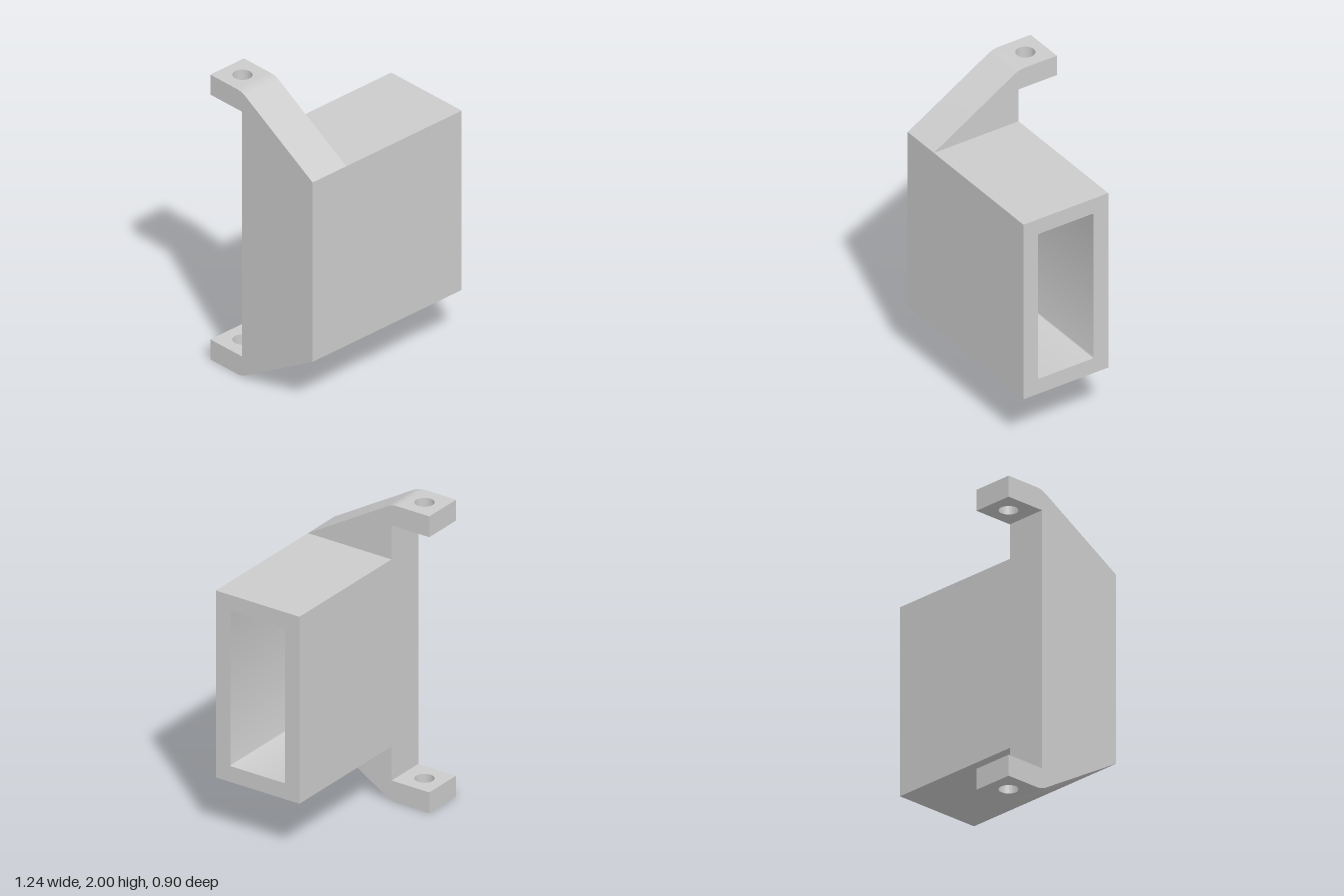
import * as THREE from 'three';
import { toCreasedNormals } from 'three/addons/utils/BufferGeometryUtils.js';

const material = new THREE.MeshStandardMaterial({ color: 0xcccccc });

const HALF_X = 0.62, HALF_Y = 0.63;   // box half length and half height
const FRONT = 0.45, BACK = -0.17;     // box faces in z
const WALL = 0.107;
const ARM_W = 0.28;                   // width of each mounting arm
const TAB_START = -0.215, TAB_END = -0.45, TAB_Y = 0.86;

function part(name, geometry) {
  const mesh = new THREE.Mesh(toCreasedNormals(geometry, 0.4), material);
  mesh.name = name;
  return mesh;
}

// Extrudes a side profile, drawn with x = -z, along the world x axis
function extrudeAlongX(shape, x0, x1) {
  return new THREE.ExtrudeGeometry(shape, { depth: x1 - x0, bevelEnabled: false, curveSegments: 8 })
    .rotateY(Math.PI / 2)
    .translate(x0, 0, 0);
}

// Rectangle with slightly rounded corners, used for the opening
function roundedRect(path, x0, y0, x1, y1, r) {
  path.absarc(x0 + r, y0 + r, r, Math.PI, Math.PI * 1.5);
  path.absarc(x1 - r, y0 + r, r, Math.PI * 1.5, Math.PI * 2);
  path.absarc(x1 - r, y1 - r, r, 0, Math.PI / 2);
  path.absarc(x0 + r, y1 - r, r, Math.PI / 2, Math.PI);
  path.closePath();
  return path;
}

// Hollow box, open at +x
function makeHousing() {
  const housing = new THREE.Group();
  housing.name = 'housing';
  const shape = new THREE.Shape()
    .moveTo(-FRONT, -HALF_Y).lineTo(-BACK, -HALF_Y)
    .lineTo(-BACK, HALF_Y).lineTo(-FRONT, HALF_Y).closePath();
  shape.holes.push(roundedRect(new THREE.Path(),
    -FRONT + WALL, -HALF_Y + WALL, -BACK - WALL, HALF_Y - WALL, 0.01));
  housing.add(part('sleeve', extrudeAlongX(shape, -HALF_X + WALL, HALF_X)));

  const end = part('endWall', new THREE.BoxGeometry(WALL, HALF_Y * 2, FRONT - BACK));
  end.position.set(-HALF_X + WALL / 2, 0, (FRONT + BACK) / 2);
  housing.add(end);
  housing.position.y = 1;
  return housing;
}

// Sloped arm with a drilled tab, centred on its own width
function makeArm(name) {
  const arm = new THREE.Group();
  arm.name = name;
  const web = new THREE.Shape()
    .moveTo(-FRONT, HALF_Y).lineTo(-BACK, HALF_Y)
    .lineTo(-BACK, TAB_Y).lineTo(-TAB_START, TAB_Y).lineTo(-TAB_START, 1);
  web.quadraticCurveTo(0.175, 1, 0.14, 0.98);
  web.closePath();
  arm.add(part('slopedWeb', extrudeAlongX(web, -ARM_W / 2, ARM_W / 2)));

  // Tab drawn in plan with y = -z, then laid flat
  const plan = new THREE.Shape()
    .moveTo(-ARM_W / 2, -TAB_START).lineTo(ARM_W / 2, -TAB_START)
    .lineTo(ARM_W / 2, -TAB_END).lineTo(-ARM_W / 2, -TAB_END).closePath();
  plan.holes.push(new THREE.Path().absarc(0, 0.315, 0.061, 0, Math.PI * 2, true));
  const tab = new THREE.ExtrudeGeometry(plan, { depth: 1 - TAB_Y, bevelEnabled: false, curveSegments: 40 })
    .rotateX(-Math.PI / 2)
    .translate(0, TAB_Y, 0);
  arm.add(part('drilledTab', tab));
  arm.position.set(-HALF_X + ARM_W / 2, 1, 0);
  return arm;
}

export function createModel() {
  const model = new THREE.Group();
  model.name = 'mountingHousing';
  const upper = makeArm('upperArm');
  const lower = makeArm('lowerArm');
  lower.rotation.z = Math.PI;   // the arm is symmetric across its width
  model.add(makeHousing(), upper, lower);
  return model;
}
